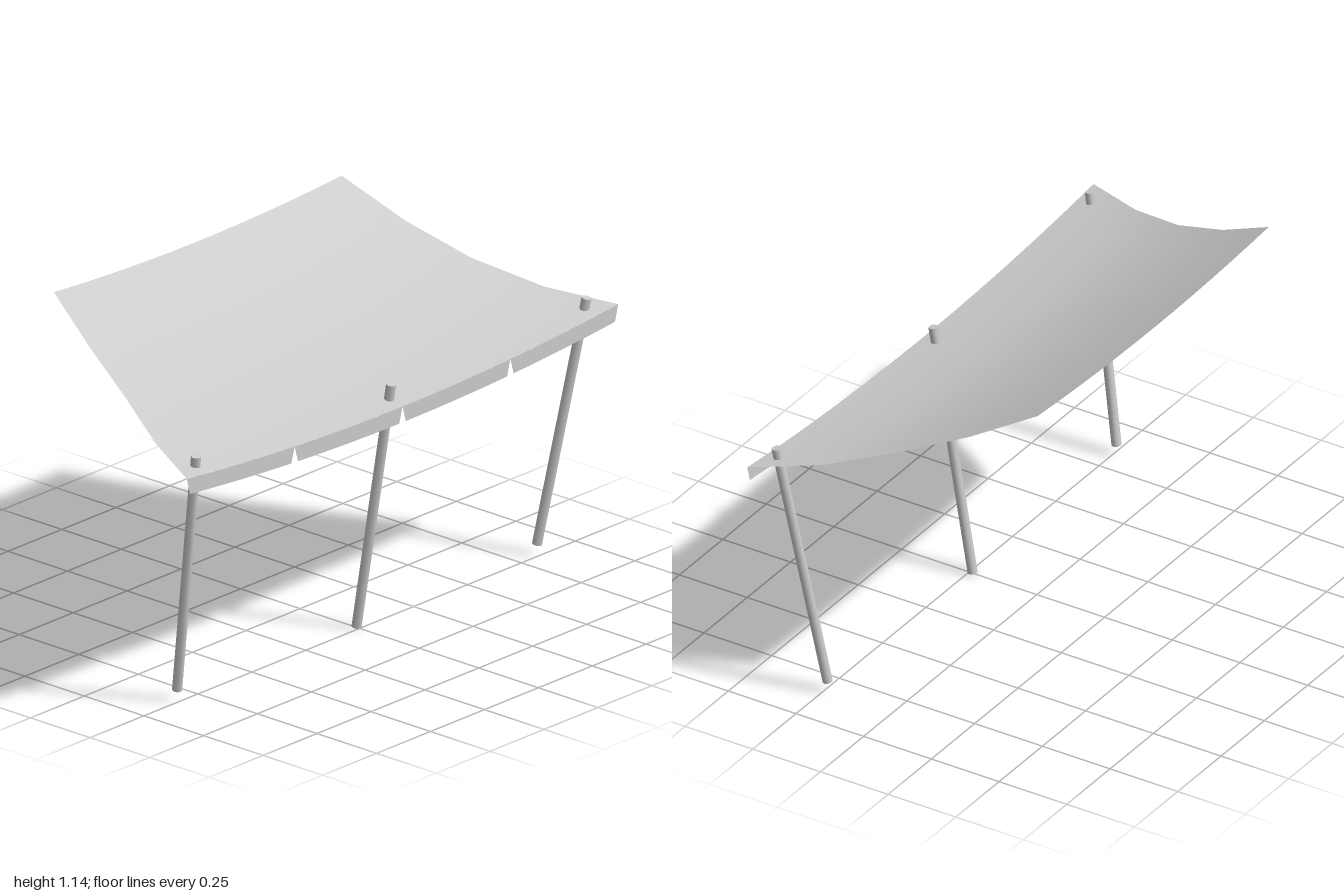
import * as THREE from 'three';

const material = new THREE.MeshStandardMaterial({ color: 0xcccccc });
const clothMaterial = new THREE.MeshStandardMaterial({ color: 0xcccccc, side: THREE.DoubleSide });

// Cloth stations from front to back: z, half width, height at the side edge, sag at the middle
const stations = [
  [0.43, 1.0, 0.84, 0.05],
  [0.21, 0.9, 0.87, 0.042],
  [-0.01, 0.8, 0.939, 0.035],
  [-0.22, 0.73, 1.027, 0.03],
  [-0.43, 0.667, 1.14, 0.025],
];

function clothGeometry() {
  const cols = 12;
  const geometry = new THREE.PlaneGeometry(1, 1, cols, stations.length - 1);
  const position = geometry.attributes.position;
  for (let i = 0; i < position.count; i++) {
    const [z, half, edge, sag] = stations[stations.length - 1 - Math.floor(i / (cols + 1))];
    const t = (i % (cols + 1)) / cols * 2 - 1;
    position.setXYZ(i, t * half, edge - sag * (1 - t * t), z);
  }
  geometry.computeVertexNormals();
  return geometry;
}

// Hanging front flap: a strip between two x positions, with slanted ends
function flapGeometry(x0, x1) {
  const steps = 4, inset = 0.015;
  const frontY = (x) => 0.79 + 0.05 * x * x;
  const shape = new THREE.Shape();
  shape.moveTo(x0, frontY(x0));
  for (let i = 0; i <= steps; i++) {
    const x = THREE.MathUtils.lerp(x0 + inset, x1 - inset, i / steps);
    shape.lineTo(x, frontY(x) - 0.053);
  }
  for (let i = steps; i > 0; i--) {
    const x = THREE.MathUtils.lerp(x0, x1, i / steps);
    shape.lineTo(x, frontY(x));
  }
  return new THREE.ShapeGeometry(shape).translate(0, 0, 0.43);
}

// Round pole between two points
function pole(name, bottom, top) {
  const axis = top.clone().sub(bottom);
  const mesh = new THREE.Mesh(new THREE.CylinderGeometry(0.016, 0.016, axis.length(), 8), material);
  mesh.position.copy(bottom).add(top).multiplyScalar(0.5);
  mesh.quaternion.setFromUnitVectors(new THREE.Vector3(0, 1, 0), axis.normalize());
  mesh.name = name;
  return mesh;
}

export function createModel() {
  const group = new THREE.Group();
  group.name = 'awning';

  const canopy = new THREE.Mesh(clothGeometry(), clothMaterial);
  canopy.name = 'canopy';
  group.add(canopy);

  // Four flaps along the front edge
  for (let i = 0; i < 4; i++) {
    const flap = new THREE.Mesh(flapGeometry(-1 + i * 0.5, -0.5 + i * 0.5), clothMaterial);
    flap.name = 'frontFlap' + (i + 1);
    group.add(flap);
  }

  // Leaning poles: the outer pair also splay outwards
  for (const [name, side] of [['rightPole', -1], ['leftPole', 1]]) {
    group.add(pole(name,
      new THREE.Vector3(side * 0.834, 0.036, 0.239),
      new THREE.Vector3(side * 0.905, 0.877, 0.383)));
  }
  group.add(pole('middlePole', new THREE.Vector3(0, 0.003, 0.237), new THREE.Vector3(0, 0.852, 0.382)));

  return group;
}
